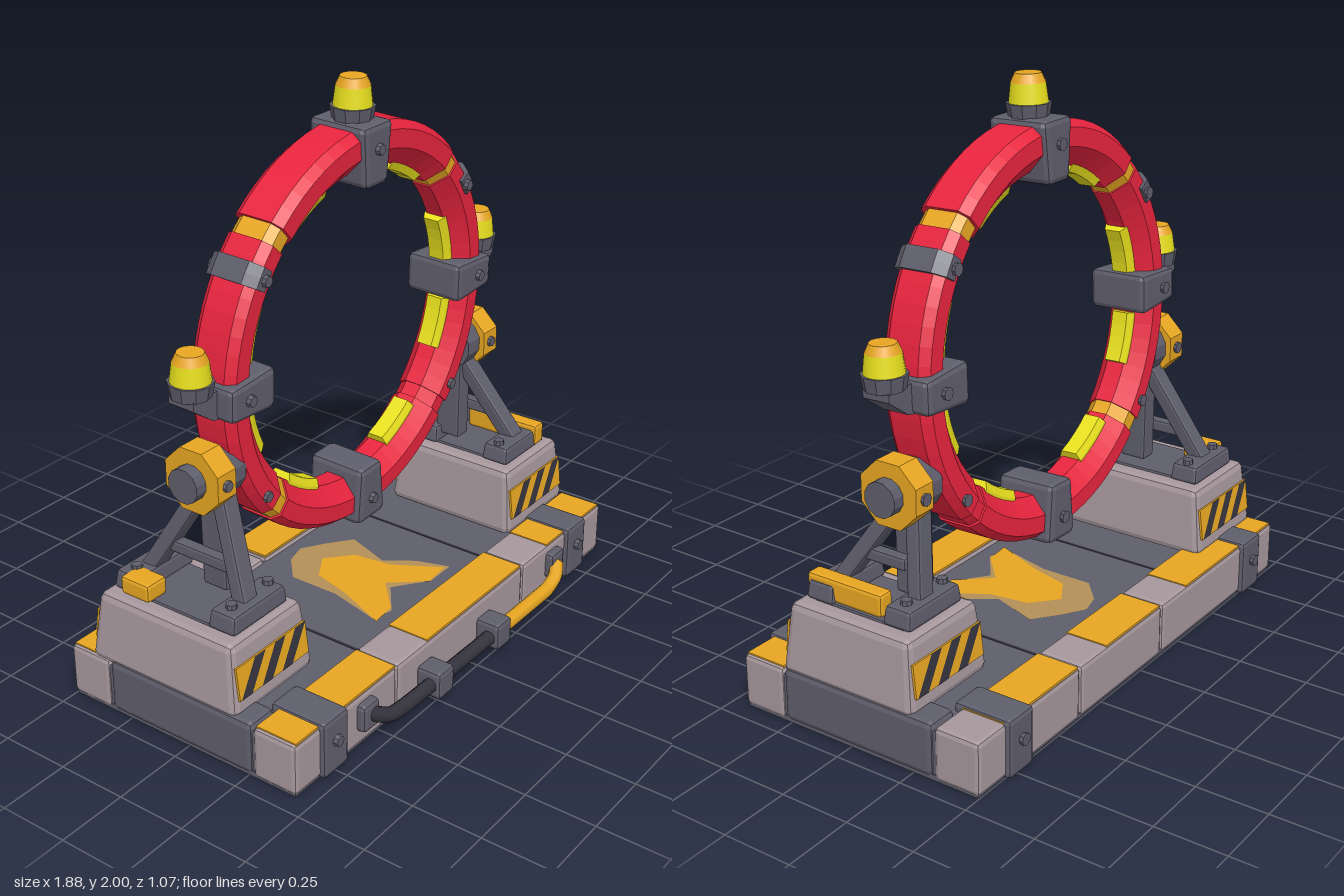
import * as THREE from 'three';
import { mergeGeometries } from 'three/addons/utils/BufferGeometryUtils.js';
import { RoundedBoxGeometry } from 'three/addons/geometries/RoundedBoxGeometry.js';

const mat = (name, color) => Object.assign(new THREE.MeshStandardMaterial({ color }), { name });
const RED = mat('red', 0xe8243e), DARK = mat('slate', 0x5e5d6b), LIGHT = mat('warm grey', 0xa6979c),
  ORANGE = mat('orange', 0xeaa822), YELLOW = mat('lamp yellow', 0xeee61e),
  BLACK = mat('charcoal', 0x35343e), TAN = mat('worn paint', 0xb48f58);

// Facets every face so edges stay crisp
function flat(geo) {
  const g = geo.index ? geo.toNonIndexed() : geo;
  g.computeVertexNormals();
  return g;
}
function add(parent, name, geo, material, x = 0, y = 0, z = 0) {
  const m = new THREE.Mesh(geo, material);
  m.name = name;
  m.position.set(x, y, z);
  parent.add(m);
  return m;
}
function group(parent, name, x = 0, y = 0, z = 0) {
  const g = new THREE.Group();
  g.name = name;
  g.position.set(x, y, z);
  parent.add(g);
  return g;
}
// Chamfered box with optional taper: top scaled by tx, tz
function block(w, h, d, c = 0.012, tx = 1, tz = 1) {
  const g = new RoundedBoxGeometry(w, h, d, 1, c), p = g.attributes.position;
  for (let i = 0; i < p.count; i++) {
    const t = p.getY(i) / h + 0.5;
    p.setX(i, p.getX(i) * (1 + (tx - 1) * t));
    p.setZ(i, p.getZ(i) * (1 + (tz - 1) * t));
  }
  return flat(g);
}
// Square beam between two points
function strut(parent, name, a, b, w, d) {
  const A = new THREE.Vector3(...a), B = new THREE.Vector3(...b), dir = B.clone().sub(A);
  const m = add(parent, name, block(w, dir.length(), d, 0.01), DARK);
  m.position.copy(A).lerp(B, 0.5);
  m.quaternion.setFromUnitVectors(new THREE.Vector3(0, 1, 0), dir.normalize());
}
const boltGeo = flat(new THREE.CylinderGeometry(0.018, 0.022, 0.02, 8)).rotateX(Math.PI / 2);
const bolt = (parent, x, y, z) => add(parent, 'bolt', boltGeo, DARK, x, y, z);

// Capped sweep of a counter-clockwise (radius, z) section around the z axis, in degrees
function arc(section, a0, a1) {
  const s = a0 * Math.PI / 180, e = a1 * Math.PI / 180;
  const pts = section.map(([r, z]) => new THREE.Vector2(r, z));
  const steps = Math.max(2, Math.ceil((a1 - a0) / 5));
  const body = new THREE.LatheGeometry([...pts, pts[0]], steps, s + Math.PI / 2, e - s).rotateX(Math.PI / 2);
  const cap = () => new THREE.ShapeGeometry(new THREE.Shape(pts)).rotateX(Math.PI / 2);
  const start = cap().rotateZ(s), end = cap().rotateZ(e);
  end.setIndex(Array.from(end.index.array).reverse());
  return flat(mergeGeometries([body, start, end].map(g => g.toNonIndexed())));
}
function beacon(parent, x, y, z) {
  const g = group(parent, 'beacon', x, y, z);
  add(g, 'beaconBase', flat(new THREE.CylinderGeometry(0.075, 0.066, 0.05, 10)), DARK, 0, 0.02, 0);
  add(g, 'beaconLamp', new THREE.CylinderGeometry(0.058, 0.066, 0.065, 16), YELLOW, 0, 0.0775, 0);
  add(g, 'beaconCap', new THREE.CylinderGeometry(0.044, 0.058, 0.03, 16), ORANGE, 0, 0.125, 0);
}

function buildRing(root) {
  const ring = group(root, 'ring', 0, 1.14, -0.06);
  ring.rotation.x = 0.03;
  const section = [[0.62, -0.09], [0.68, -0.09], [0.705, -0.06], [0.705, 0.06], [0.68, 0.09],
    [0.62, 0.09], [0.56, 0.035], [0.56, -0.035]];
  const scaled = k => section.map(([r, z]) => [0.63 + (r - 0.63) * k, z * k]);
  // Red quarters with orange joints
  for (let q = 0; q < 4; q++) {
    const a = 45 + q * 90;
    add(ring, 'ringSegment', arc(scaled(q ? 0.98 : 1.05), a + 2.5, a + 87.5), RED);
    add(ring, 'ringJoint', arc(scaled(0.9), a - 3.5, a + 3.5), q === 3 ? RED : ORANGE);
  }
  // Outer bands below the upper joints, bolts there and beside the lower joints
  const band = [[0.645, -0.1], [0.69, -0.1], [0.72, -0.06], [0.72, 0.06], [0.69, 0.1], [0.645, 0.1]];
  for (const a of [33.5, 146.5]) add(ring, 'ringBand', arc(band, a - 3, a + 3), DARK);
  for (const [a, z] of [[33.5, 0.103], [146.5, 0.103], [217, 0.09], [323, 0.09]]) {
    const t = a * Math.PI / 180;
    for (const s of [-1, 1]) bolt(ring, 0.66 * Math.cos(t), 0.66 * Math.sin(t), z * s);
  }
  // Slim light strips along the inside
  const strip = [[0.59, -0.042], [0.59, 0.042], [0.56, 0.042], [0.535, 0.03], [0.535, -0.03], [0.56, -0.042]];
  for (const a of [16, 62, 118, 164, 198, 240, 300, 342])
    add(ring, 'lightStrip', arc(strip, a - 9.5, a + 9.5), YELLOW);
  // Clamps at the four quarter points
  [0, 90, 180, 272].forEach((a, i) => {
    const c = group(ring, 'clamp');
    c.rotation.z = a * Math.PI / 180;
    const jaw = add(c, 'clampBody', i % 2 ? block(0.12, 0.21, 0.225, 0.02, 1.35, 1) : block(0.145, 0.21, 0.225, 0.02, 0.78, 1), DARK, 0.618, 0, 0);
    jaw.rotation.z = -Math.PI / 2;
    for (const s of [-1, 1]) bolt(c, 0.64, 0, 0.117 * s);
  });
  // Beacon brackets and beacons
  const arm = new THREE.Shape([[0.68, -0.06], [0.74, -0.05], [0.83, 0.015], [0.83, 0.045], [0.68, 0.045]]
    .map(p => new THREE.Vector2(...p)));
  for (const s of [-1, 1]) {
    const b = add(ring, 'beaconBracket', flat(new THREE.ExtrudeGeometry(arm, { depth: 0.1, bevelEnabled: false })), DARK, 0, 0, 0.05 * -s);
    b.rotation.y = s < 0 ? Math.PI : 0;
    beacon(ring, 0.785 * s, 0.045, 0);
  }
  beacon(ring, 0, 0.72, 0.005);
}

// Tapered foot block, A-frame and pivot hub on one side
function buildSupport(root, s, zc, depth, hubY) {
  const g = group(root, s > 0 ? 'leftSupport' : 'rightSupport');
  add(g, 'pedestal', block(0.4, 0.25, depth, 0.025, 0.88, 0.9), LIGHT, 0.735 * s, 0.305, zc);
  add(g, 'pedestalTop', block(0.24, 0.02, depth * 0.68, 0.006), DARK, 0.735 * s, 0.43, zc);
  // Hazard plates on both sloped ends
  for (const r of [0, Math.PI]) {
    const side = group(g, 'hazardPanel', 0.735 * s, 0.3, zc);
    side.rotation.y = r;
    const p = group(side, 'hazardPlate', 0, 0, depth / 2 * 0.952 + 0.003);
    p.rotation.x = -Math.atan(depth * 0.05 / 0.25);
    add(p, 'hazardBase', new THREE.BoxGeometry(0.345, 0.115, 0.008), ORANGE);
    for (const x0 of [-0.168, -0.067, 0.034]) {
      const stripe = new THREE.Shape([[x0, -0.057], [x0 + 0.052, -0.057], [x0 + 0.137, 0.057], [x0 + 0.085, 0.057]]
        .map(v => new THREE.Vector2(...v)));
      add(p, 'hazardStripe', new THREE.ShapeGeometry(stripe), BLACK, 0, 0, 0.006);
    }
  }
  // A-frame legs, feet and cross bar
  const hz = -0.065, spread = depth / 2 - 0.11;
  for (const e of [-1, 1]) {
    const fz = zc + spread * e;
    add(g, 'foot', block(0.27, 0.065, 0.11, 0.012, 0.92, 0.9), DARK, 0.73 * s, 0.465, fz);
    for (const x of [0.63, 0.81]) add(g, 'footBolt', flat(new THREE.CylinderGeometry(0.018, 0.02, 0.02, 8)), DARK, x * s, 0.503, fz);
    strut(g, 'leg', [0.74 * s, 0.47, fz], [0.685 * s, hubY - 0.06, hz + 0.03 * e], 0.07, 0.055);
  }
  strut(g, 'crossBar', [0.72 * s, 0.58, zc - spread * 0.62], [0.72 * s, 0.58, zc + spread * 0.62], 0.045, 0.045);
  strut(g, 'post', [0.67 * s, 0.46, hz], [0.675 * s, hubY, hz], 0.07, 0.1);
  // Pivot
  const drum = (name, r, x, w, m, n) => {
    const d = add(g, name, flat(new THREE.CylinderGeometry(r, r, w, n).rotateY(Math.PI / n)), m, x * s, hubY, hz);
    d.rotation.z = Math.PI / 2;
  };
  drum('pivotInner', 0.09, 0.675, 0.08, DARK, 12);
  drum('pivotHub', 0.116, 0.75, 0.085, ORANGE, 8);
  drum('pivotPin', 0.06, 0.81, 0.05, DARK, 12);
  for (const e of [-1, 1]) bolt(g, 0.75 * s, hubY, hz + 0.108 * e);
  // Orange latch beside the feet
  if (s > 0) add(g, 'latch', block(0.06, 0.08, 0.3, 0.012), ORANGE, 0.82, 0.478, 0.08);
  else add(g, 'latch', block(0.09, 0.065, 0.12, 0.012), ORANGE, -0.84, 0.47, -0.25);
}

function buildBase(root) {
  const base = group(root, 'base');
  add(base, 'deck', block(1.86, 0.16, 0.66, 0.01), DARK, 0, 0.095, -0.03);
  add(base, 'underside', new THREE.BoxGeometry(1.86, 0.02, 0.93), DARK, 0, 0.01, -0.03);
  for (const s of [-1, 1]) add(base, 'endPanel', block(0.12, 0.19, 0.6, 0.02), DARK, 0.88 * s, 0.105, -0.03);
  for (const x of [-0.38, 0.37]) add(base, 'deckSeam', new THREE.BoxGeometry(0.01, 0.006, 0.6), BLACK, x, 0.174, -0.03);
  // Rim beams in sections, with painted tops
  const beams = [
    { z: 0.358, cuts: [-0.94, -0.4, 0.38, 0.94], paint: [[-0.925, -0.405], [-0.22, 0.37], [0.55, 0.925]] },
    { z: -0.42, cuts: [-0.94, -0.13, 0.38, 0.94], paint: [[-0.925, -0.3], [-0.12, 0.22], [0.39, 0.8]] },
  ];
  for (const { z, cuts, paint } of beams) {
    for (let i = 0; i < 3; i++)
      add(base, 'rimBeam', block(cuts[i + 1] - cuts[i] - 0.004, 0.185, 0.17, 0.016), LIGHT, (cuts[i] + cuts[i + 1]) / 2, 0.1, z);
    for (const [a, b] of paint)
      add(base, 'rimPaint', new THREE.BoxGeometry(b - a, 0.008, 0.156), ORANGE, (a + b) / 2, 0.192, z);
    // Straps over the beams
    const out = Math.sign(z);
    for (const x of [-0.75, 0.735]) {
      add(base, 'strap', block(0.13, 0.205, 0.215, 0.015), DARK, x, 0.1035, z - 0.005 * out);
      bolt(base, x, 0.12, z + 0.108 * out);
    }
  }
  // Worn chevron on the deck
  const paint = (name, pts, m, y) => add(base, name,
    new THREE.ShapeGeometry(new THREE.Shape(pts.map(([x, z]) => new THREE.Vector2(x, -z)))).rotateX(-Math.PI / 2), m, 0, y, 0);
  paint('chevronWear', [[-0.2, 0.2], [-0.12, 0.22], [0, 0.13], [0.12, 0.22], [0.24, 0.22], [0.2, 0.1], [0.13, 0],
    [0.19, -0.17], [0.1, -0.24], [0.02, -0.29], [-0.06, -0.27], [-0.15, -0.19], [-0.15, 0]], TAN, 0.1775);
  paint('chevron', [[-0.21, 0.22], [-0.11, 0.21], [0.01, 0.1], [0.11, 0.22], [0.22, 0.21], [0.12, 0.04],
    [0.1, -0.1], [0.01, -0.18], [-0.09, -0.12], [-0.13, 0.03]], ORANGE, 0.18);
  // Front handle: dark half and orange half
  const tube = (name, pts, m) => add(base, name, new THREE.TubeGeometry(
    new THREE.CatmullRomCurve3(pts.map(p => new THREE.Vector3(...p)), false, 'catmullrom', 0.2), 32, 0.026, 8), m);
  tube('handleGrip', [[-0.57, 0.12, 0.44], [-0.57, 0.12, 0.48], [-0.51, 0.09, 0.495], [-0.4, 0.078, 0.495], [0.12, 0.07, 0.495]], BLACK);
  tube('handleBar', [[0.12, 0.07, 0.495], [0.46, 0.07, 0.495], [0.53, 0.09, 0.49], [0.57, 0.115, 0.47], [0.57, 0.12, 0.44]], ORANGE);
  for (const x of [-0.24, 0.12]) add(base, 'handleBracket', block(0.09, 0.1, 0.1, 0.015), DARK, x, 0.077, 0.485);
  for (const x of [-0.58, 0.58]) add(base, 'handleMount', block(0.085, 0.1, 0.05, 0.015), DARK, x, 0.115, 0.45);
}

export function createModel() {
  const root = new THREE.Group();
  root.name = 'ringGate';
  buildBase(root);
  buildSupport(root, 1, 0.015, 0.53, 0.835);
  buildSupport(root, -1, -0.105, 0.62, 0.885);
  buildRing(root);
  return root;
}
